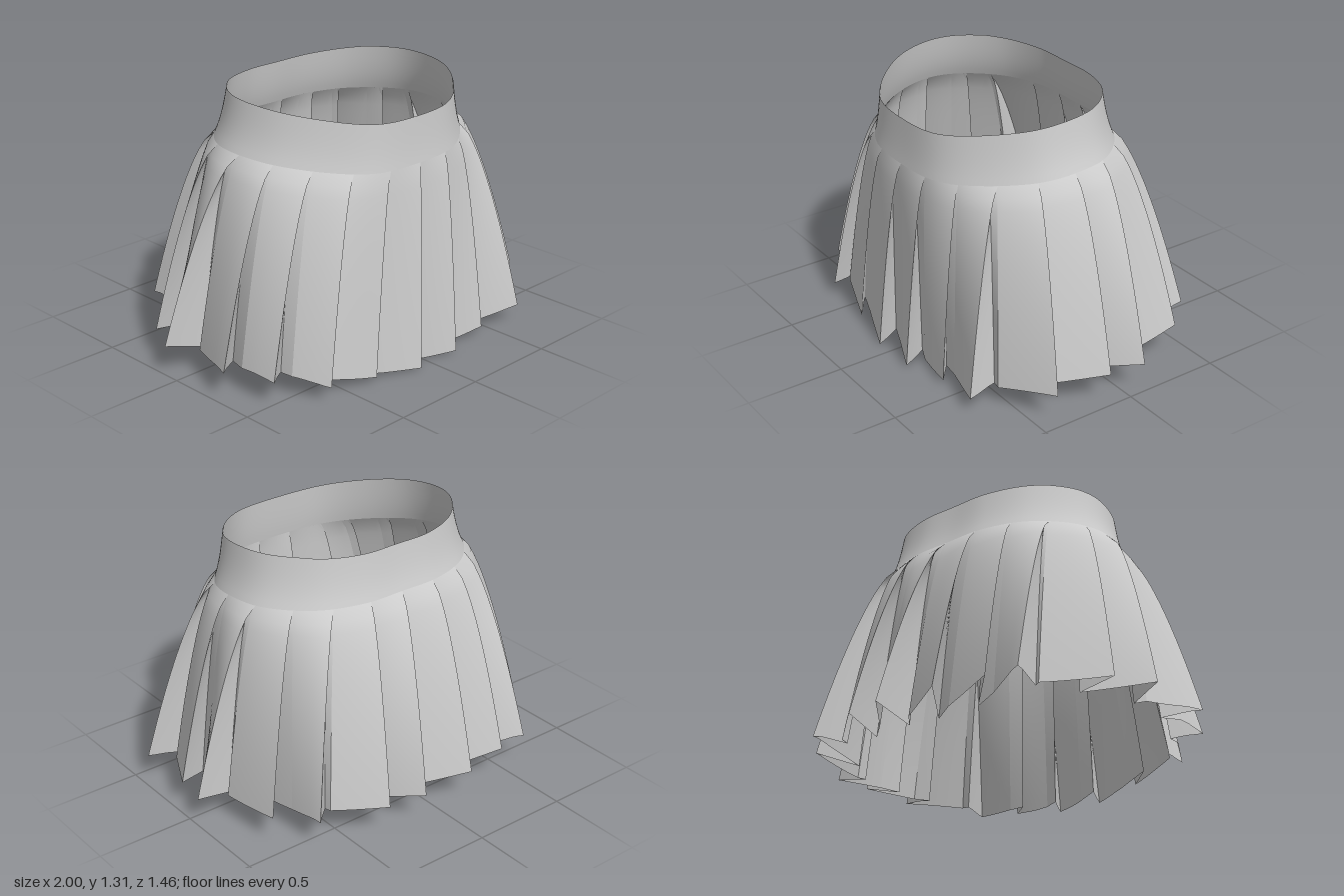
import * as THREE from 'three';
import { mergeGeometries, mergeVertices } from 'three/addons/utils/BufferGeometryUtils.js';

const clamp01 = v => Math.min(1, Math.max(0, v));
const lerp = (a, b, f) => a + (b - a) * f;

// Waist outline as [x, z], from the front centre round the model's right side
const waist = new THREE.CatmullRomCurve3([
  [0, 0.6], [-0.25, 0.57], [-0.43, 0.44], [-0.56, 0.25], [-0.595, 0.05], [-0.55, -0.1],
  [-0.4, -0.26], [-0.2, -0.335], [0, -0.34], [0.2, -0.335], [0.4, -0.26], [0.55, -0.1],
  [0.595, 0.05], [0.57, 0.25], [0.42, 0.45], [0.24, 0.57],
].map(([x, z]) => new THREE.Vector3(x, 0, z)), true);

// Hem of each pleat: outer fold x, z and the point x, z where it slips under the next
const pleats = [
  [-0.08, 0.73, -0.34, 0.63], [-0.34, 0.68, -0.61, 0.59], [-0.63, 0.67, -0.72, 0.5],
  [-0.85, 0.52, -0.86, 0.31], [-0.98, 0.32, -0.87, 0.02], [-1, -0.08, -0.83, -0.2],
  [-0.9, -0.27, -0.62, -0.46], [-0.63, -0.62, -0.41, -0.52], [-0.46, -0.64, -0.17, -0.55],
  [-0.2, -0.7, 0.06, -0.57], [0.12, -0.73, 0.25, -0.56], [0.32, -0.7, 0.54, -0.52],
  [0.66, -0.6, 0.67, -0.39], [0.81, -0.43, 0.84, -0.1], [1, -0.08, 0.85, 0.08],
  [0.97, 0.1, 0.85, 0.34], [0.97, 0.41, 0.69, 0.55], [0.68, 0.7, 0.41, 0.61],
  [0.42, 0.68, 0.18, 0.63], [0.17, 0.73, -0.03, 0.64],
];

// Heights of the band's top and bottom edges and of the hem
const topY = z => 1.32 - 0.085 * clamp01((z + 0.1) / 0.7) ** 2 - 0.1 * clamp01(-z - 0.2);
const seamY = z => 1.08 - 0.07 * clamp01(z / 0.62) ** 1.5;
function hemY(x, z) {
  const side = 0.15 - 0.2 * clamp01(1 - Math.hypot(x, z * 1.35));
  return 0.005 + side * (1 - clamp01(z / 0.65) * (1 - clamp01(Math.abs(x)) ** 1.5));
}

// Ring where the band meets the pleats
function seamPoint(u) {
  const p = waist.getPointAt(u % 1);
  const z = p.z * 1.074 - 0.024;
  return new THREE.Vector3(p.x * 1.11, seamY(z), z);
}

// Smooth sheet from a rule point(column 0..1, row 0..1)
function sheet(cols, rows, point) {
  const pos = [], index = [], w = rows + 1;
  for (let j = 0; j <= cols; j++)
    for (let i = 0; i <= rows; i++) pos.push(...point(j / cols, i / rows).toArray());
  for (let j = 0; j < cols; j++)
    for (let i = 0; i < rows; i++) {
      const a = j * w + i, c = a + w;
      index.push(a, c, a + 1, c, c + 1, a + 1);
    }
  const g = new THREE.BufferGeometry();
  g.setAttribute('position', new THREE.Float32BufferAttribute(pos, 3));
  g.setIndex(index);
  return g;
}

// Sheet hanging from seam positions u0..u1 to the hem line a..b
function panel(cols, u0, u1, a, b) {
  const g = sheet(cols, 18, (f, t) => {
    const top = seamPoint(lerp(u0, u1, f));
    const hx = lerp(a.x, b.x, f), hz = lerp(a.y, b.y, f);
    const flare = t ** 0.66;
    return new THREE.Vector3(
      lerp(top.x, hx, flare), lerp(top.y, hemY(hx, hz), t), lerp(top.z, hz, flare));
  });
  g.computeVertexNormals();
  return g;
}

export function createModel() {
  const model = new THREE.Group();
  model.name = 'pleatedSkirt';
  const cloth = new THREE.MeshStandardMaterial({ color: 0xcccccc, side: THREE.DoubleSide });
  cloth.name = 'lightGreyCloth';

  // Waistband, flaring gently towards the seam
  const bandGeometry = mergeVertices(sheet(160, 8, (u, s) => {
    const p = waist.getPointAt(u % 1), q = seamPoint(u), f = 0.65 * s + 0.35 * s ** 3;
    return new THREE.Vector3(lerp(p.x, q.x, f), lerp(topY(p.z), q.y, s), lerp(p.z, q.z, f));
  }));
  bandGeometry.computeVertexNormals();
  const band = new THREE.Mesh(bandGeometry, cloth);
  band.name = 'waistband';

  // Knife pleats: broad face, hidden underlap, then the return to the next outer fold
  const faces = [], underlaps = [], returns = [];
  const n = pleats.length;
  const folds = pleats.map(([x, z, ix, iz]) => {
    const outer = new THREE.Vector2(x, z), slip = new THREE.Vector2(ix, iz);
    return { outer, slip, along: slip.clone().sub(outer) };
  });
  folds.forEach(({ outer, slip, along }, k) => {
    const next = folds[(k + 1) % n];
    // the underlap is shorter where the hem turns a corner
    const turn = Math.max(0, Math.cos(along.angleTo(next.along)));
    const tuck = 0.42 * turn ** 2;
    const u = (k + 1) / n, uTuck = (k + 1 + tuck) / n;
    const inner = slip.clone().addScaledVector(next.along, tuck);
    faces.push(panel(8, k / n, u, outer, slip));
    underlaps.push(panel(4, u, uTuck, slip, inner));
    returns.push(panel(4, uTuck, u, inner, next.outer));
  });
  const parts = { pleatFaces: faces, pleatUnderlaps: underlaps, pleatReturns: returns };
  for (const [name, geometries] of Object.entries(parts)) {
    const mesh = new THREE.Mesh(mergeGeometries(geometries), cloth);
    mesh.name = name;
    model.add(mesh);
  }

  model.add(band);
  return model;
}
